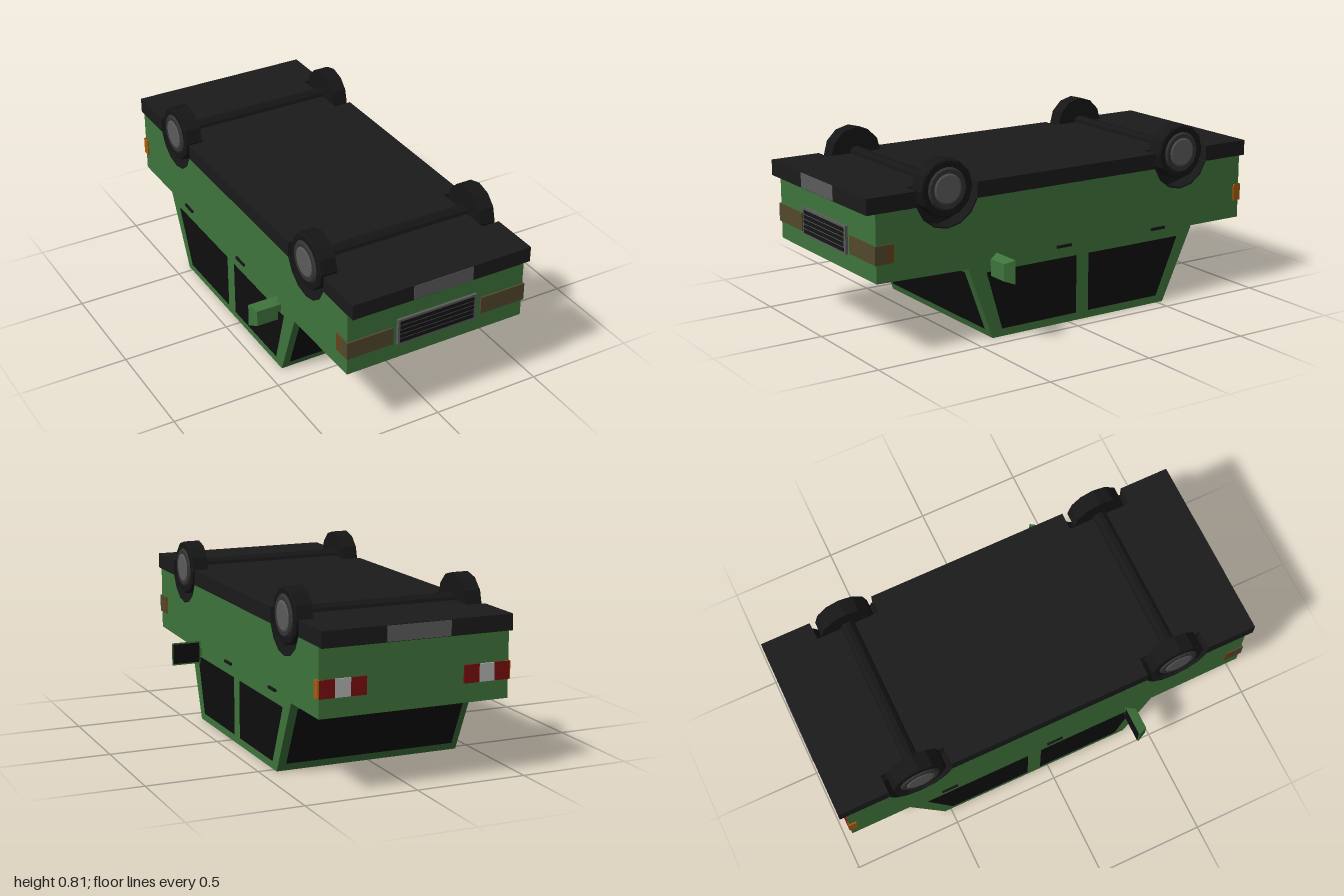
import * as THREE from 'three';

const paint = (color, side = THREE.FrontSide) =>
  new THREE.MeshStandardMaterial({ color, side, flatShading: true });
const green = paint(0x3f753c), black = paint(0x1b1b1b), rubber = paint(0x161616);
const glass = paint(0x0e0e0e, THREE.DoubleSide), grey = paint(0x5c5c5c);
const darkGrey = paint(0x343434), lampGlass = paint(0x54492f), amber = paint(0xa85c10);
const darkAmber = paint(0x6a4318), red = paint(0x7a0d0d), white = paint(0xb4b4b4);

const HALF = 0.428, INNER = 0.345, AXLES = [0.62, -0.62];
const ARCH_Y = 0.675, ARCH_R = 0.155;

export function createModel() {
  const model = new THREE.Group();
  const add = (name, geometry, material) => {
    const mesh = new THREE.Mesh(geometry, material);
    mesh.name = name;
    model.add(mesh);
    return mesh;
  };
  // Box given by its limits on each axis
  const box = (name, [x0, x1], [y0, y1], [z0, z1], material) =>
    add(name, new THREE.BoxGeometry(Math.abs(x1 - x0), y1 - y0, z1 - z0), material)
      .position.set((x0 + x1) / 2, (y0 + y1) / 2, (z0 + z1) / 2);
  // Side profile of [z, y] points extruded from x0 to x1
  const slab = (name, points, x0, x1, material) => {
    const shape = new THREE.Shape(points.map(p => new THREE.Vector2(...p)));
    const geometry = new THREE.ExtrudeGeometry(shape, { depth: x1 - x0, bevelEnabled: false });
    geometry.rotateY(-Math.PI / 2).translate(x1, 0, 0);
    add(name, geometry, material);
  };
  // Flat four-cornered panel
  const panel = (name, corners, material) => {
    const geometry = new THREE.BufferGeometry();
    geometry.setAttribute('position', new THREE.Float32BufferAttribute(corners.flat(), 3));
    geometry.setIndex([0, 1, 2, 0, 2, 3]);
    geometry.computeVertexNormals();
    add(name, geometry, material);
  };
  // Wheel arch outline, running from -z to +z
  const arc = (z, r) => Array.from({ length: 7 }, (_, i) => {
    const a = THREE.MathUtils.degToRad(197 + i * 146 / 6);
    return [z + r * Math.cos(a), ARCH_Y + r * Math.sin(a)];
  });

  // Body: plain core with side walls notched for the wheels
  const outline = [[0.96, 0.63], [0.96, 0.337], [0.52, 0.327], [0.4, 0], [-0.53, 0],
    [-0.69, 0.337], [-0.97, 0.337], [-0.97, 0.63]];
  slab('bodyCore', outline, -INNER, INNER, green);
  const notched = [...outline, ...arc(-0.62, ARCH_R), ...arc(0.62, ARCH_R)];
  slab('bodySide', notched, INNER, HALF, green);
  slab('bodySide', notched, -HALF, -INNER, green);

  // Floor pan, with gaps over the wheels
  box('floorPan', [-INNER, INNER], [0.63, 0.7], [-1, 1], black);

  // Windscreen and rear window
  const screen = (name, zAt) => panel(name, [[-0.397, 0.035], [0.393, 0.035], [0.393, 0.305], [-0.397, 0.305]]
    .map(([x, y]) => [x, y, zAt(y)]), glass);
  screen('windscreen', y => 0.404 + y * 0.12 / 0.327);
  screen('rearWindow', y => -0.534 - y * 0.16 / 0.337);

  for (const s of [1, -1]) {
    const span = (a, b) => (s > 0 ? [a, b] : [-b, -a]);

    for (const [z0, z1] of [[-1, -0.768], [-0.472, 0.472], [0.768, 1]])
      box('floorPanSide', span(INNER, HALF), [0.63, 0.7], [z0, z1], black);

    // Side windows
    const x = s * (HALF + 0.002);
    panel('frontSideWindow', [[0.43, 0.3], [-0.04, 0.3], [-0.04, 0.035], [0.352, 0.035]]
      .map(([z, y]) => [x, y, z]), glass);
    panel('rearSideWindow', [[-0.105, 0.3], [-0.605, 0.3], [-0.49, 0.035], [-0.105, 0.035]]
      .map(([z, y]) => [x, y, z]), glass);

    // Door handles
    for (const z of [0.028, -0.493])
      box('doorHandle', span(HALF, 0.436), [0.347, 0.359], [z - 0.038, z + 0.038], rubber);

    // Mirror housing, tapering to the front, with its glass behind
    const housing = new THREE.BoxGeometry(0.14, 0.106, 0.044);
    const p = housing.attributes.position;
    for (let i = 0; i < p.count; i++)
      if (p.getZ(i) > 0) p.setXY(i, p.getX(i) * 0.72, p.getY(i) * 0.7);
    add('mirrorHousing', housing, green).position.set(s * 0.506, 0.328, 0.404);
    box('mirrorGlass', span(0.443, 0.569), [0.282, 0.374], [0.379, 0.383], glass);
    box('mirrorArm', span(0.425, 0.46), [0.31, 0.345], [0.386, 0.4], green);

    // Headlamps with side indicators
    box('headlamp', span(0.215, 0.434), [0.417, 0.497], [0.91, 0.968], lampGlass);
    box('frontIndicator', span(0.4, 0.434), [0.417, 0.497], [0.88, 0.91], darkAmber);

    // Tail lamps in three sections, amber on the side
    [red, white, red].forEach((material, i) =>
      box('tailLamp', span(0.22 + i * 0.07, 0.29 + i * 0.07), [0.42, 0.497], [-0.977, -0.95], material));
    box('rearIndicator', span(0.41, 0.435), [0.42, 0.497], [-0.976, -0.938], amber);

    for (const z of AXLES) {
      // Dark lining inside the arch
      const lining = [...arc(z, ARCH_R), ...arc(z, ARCH_R - 0.005).reverse()];
      slab('archLining', lining, ...span(INNER, HALF), rubber);
      slab('archWall', arc(z, ARCH_R), ...span(INNER, INNER + 0.003), rubber);

      // Wheel: tyre, rim and bulging hub
      const wheel = new THREE.Group();
      wheel.name = 'wheel';
      const turned = (name, profile, segments, material) => {
        const mesh = new THREE.Mesh(
          new THREE.LatheGeometry(profile.map(q => new THREE.Vector2(...q)), segments), material);
        mesh.name = name;
        wheel.add(mesh);
      };
      turned('tyre', [[0, -0.039], [0.125, -0.039], [0.125, 0.034], [0.118, 0.039], [0.092, 0.039]], 12, rubber);
      turned('rim', [[0.092, 0.039], [0.084, 0.046], [0.066, 0.046]], 20, darkGrey);
      turned('hub', [[0.066, 0.046], [0.058, 0.049], [0, 0.049]], 20, grey);
      wheel.rotation.z = -s * Math.PI / 2;
      wheel.position.set(s * 0.389, 0.69, z);
      model.add(wheel);
    }
  }

  // Axles
  for (const z of AXLES) {
    const axle = add('axle', new THREE.CylinderGeometry(0.034, 0.034, 0.72, 10), rubber);
    axle.rotation.z = Math.PI / 2;
    axle.position.set(0, 0.695, z);
  }

  // Grille: grey frame with five dark slots
  box('grilleFrame', [-0.195, 0.19], [0.407, 0.53], [0.95, 0.972], grey);
  for (let i = 0; i < 5; i++)
    box('grilleSlot', [-0.185, 0.175], [0.417 + i * 0.0215, 0.434 + i * 0.0215], [0.96, 0.974], rubber);

  // Blank plates on both bumpers
  box('frontPlate', [-0.143, 0.143], [0.632, 0.698], [0.99, 1.002], grey);
  box('rearPlate', [-0.143, 0.143], [0.632, 0.698], [-1.002, -0.99], grey);

  return model;
}
